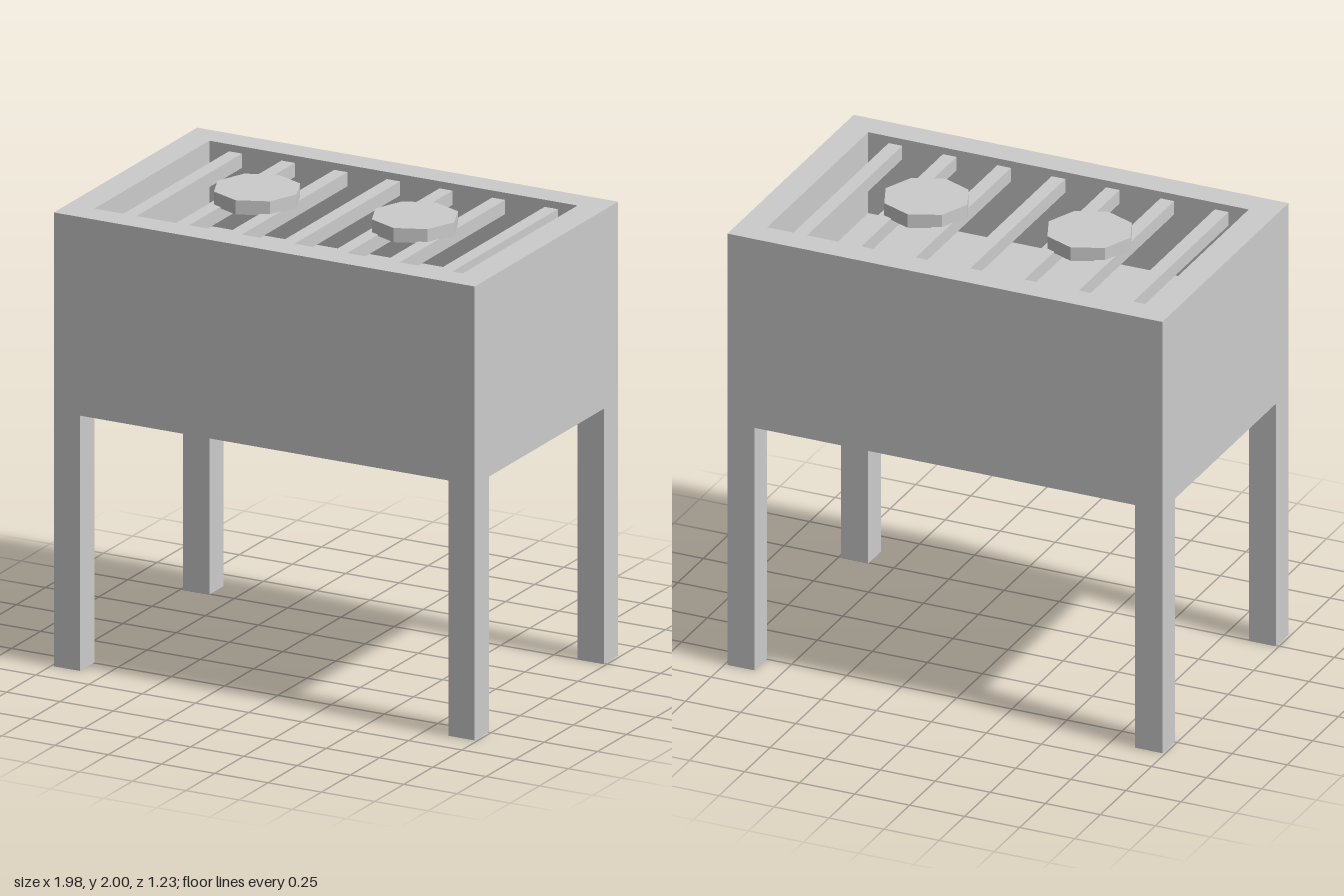
import * as THREE from 'three';

const U = 2 / 16.2; // module unit: the whole height is 16.2 units

export function createModel() {
  const model = new THREE.Group();
  model.name = 'grillTable';
  const material = new THREE.MeshStandardMaterial({ color: 0xcccccc, flatShading: true });

  const add = (name, geometry, x, y, z) => {
    const mesh = new THREE.Mesh(geometry, material);
    mesh.name = name;
    mesh.position.set(x * U, y * U, z * U);
    model.add(mesh);
    return mesh;
  };
  const box = (w, h, d) => new THREE.BoxGeometry(w * U, h * U, d * U);
  const rectangle = (target, w, d) => {
    const x = (w / 2) * U, y = (d / 2) * U;
    target.moveTo(-x, -y).lineTo(x, -y).lineTo(x, y).lineTo(-x, y).closePath();
    return target;
  };

  // Four square legs, flush with the body corners
  for (const [side, x] of [['Left', 7.5], ['Right', -7.5]]) {
    for (const [end, z] of [['front', 4.5], ['back', -4.5]]) {
      add(end + side + 'Leg', box(1, 9, 1), x, 4.5, z);
    }
  }

  // Solid lower body, its top is the floor of the tray
  add('bodyBase', box(16, 4, 10), 0, 11, 0);

  // Walls around the open tray
  const outline = rectangle(new THREE.Shape(), 16, 10);
  outline.holes.push(rectangle(new THREE.Path(), 14, 8));
  const walls = new THREE.ExtrudeGeometry(outline, { depth: 3 * U, bevelEnabled: false });
  walls.rotateX(-Math.PI / 2);
  add('trayWalls', walls, 0, 13, 0);

  // Seven grate bars running front to back, just below the rim
  for (let i = -3; i <= 3; i++) {
    add('grateBar', box(0.5, 0.5, 8), i * 2, 15.5, 0);
  }

  // Two eight-sided patties lying on the grate
  for (const x of [-3, 3]) {
    add('patty', new THREE.CylinderGeometry(1.5 * U, 1.5 * U, 0.5 * U, 8), x, 15.95, 0);
  }

  return model;
}
